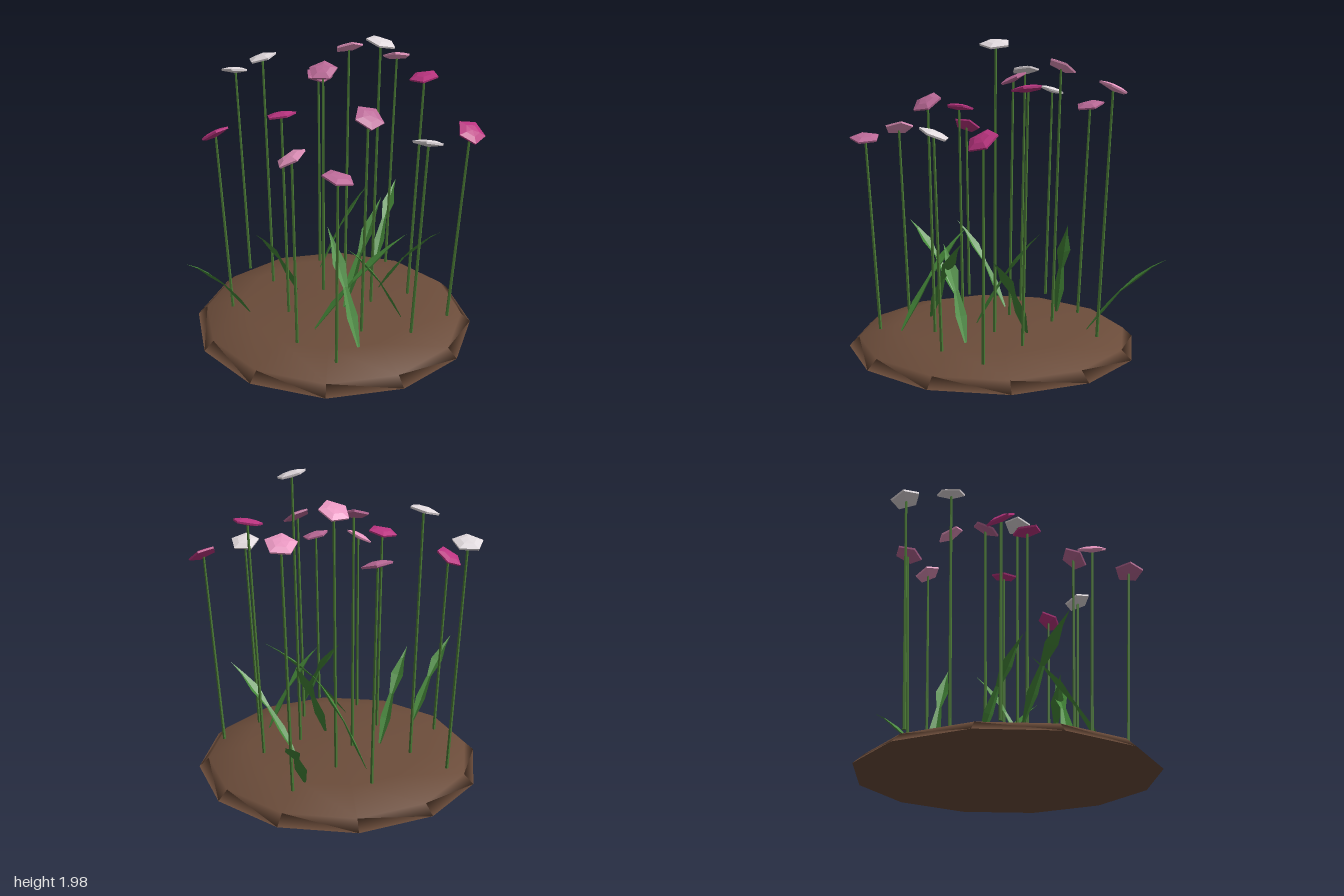
import * as THREE from 'three';

const UP = new THREE.Vector3(0, 1, 0);
const paint = (color, flat = true) =>
  new THREE.MeshStandardMaterial({ color, flatShading: flat, side: THREE.DoubleSide });

const stemMat = paint(0x4a7a35);
const leafMat = paint(0x468a3a);
const soilMat = paint(0x6b4c3a, false);
const petalMats = {
  white: paint(0xe2dade), pink: paint(0xe896c0), rose: paint(0xbc6a98), magenta: paint(0xba3480),
};

// colour, head centre x y z, slope dy/dx, slope dy/dz, yaw of one corner
const FLOWERS = [
  ['white', -0.30, 1.62, -0.79, -0.15, 0.25, 3.1],
  ['white', -0.23, 1.77, -0.48, 0.25, 0.12, 2.55],
  ['rose', 0.26, 1.55, -0.64, -0.05, -0.28, 2.43],
  ['pink', 0.33, 1.81, -0.33, -0.05, 0.55, -0.1],
  ['pink', 0.74, 1.69, -0.39, -0.2, 0.42, 3.14],
  ['magenta', -0.65, 1.37, -0.28, 0.3, 0.6, 2.36],
  ['rose', 0.05, 1.725, -0.155, 0.3, -0.35, 0],
  ['magenta', -0.32, 1.53, 0.01, 0.08, 0.2, 0],
  ['white', 0.29, 1.95, 0.16, -0.2, -0.2, 3.14],
  ['magenta', 0.61, 1.695, 0.165, 0.2, 0, 3.14],
  ['pink', -0.44, 1.405, 0.41, 0.5, 0.2, 2.5],
  ['rose', 0.03, 1.6, 0.485, -0.1, -0.65, -2.76],
  ['rose', -0.30, 1.37, 0.735, -0.2, -0.15, 3.14],
  ['white', 0.35, 1.44, 0.64, -0.28, 0.3, 3.04],
  ['magenta', 0.71, 1.43, 0.56, -0.1, -0.7, 2.36],
];

// base x z, tip x y z
const LEAVES = [
  [-0.53, -0.10, -0.98, 0.66, 0.01],
  [-0.12, -0.23, -0.48, 0.72, -0.08],
  [0.17, -0.45, 0.47, 0.82, -0.28],
  [0.06, 0.14, 0.46, 0.80, -0.08],
  [0.58, -0.35, 0.94, 0.63, -0.68],
  [0.41, 0.00, 0.62, 0.71, 0.42],
  [-0.09, 0.62, -0.06, 0.77, 0.13],
  [0.34, 0.42, -0.02, 0.69, 0.34],
  [-0.24, 0.30, 0.34, 0.77, 0.45],
];

// Five-sided shallow blossom, shared by all flowers
const headGeo = new THREE.LatheGeometry(
  [[0, -0.02], [0.094, -0.006], [0.097, 0.006], [0.05, 0.019], [0, 0.022]]
    .map(([r, y]) => new THREE.Vector2(r, y)), 5);

function flower([color, x, y, z, sx, sz, yaw]) {
  const group = new THREE.Group();
  group.name = 'flower';
  const centre = new THREE.Vector3(x, y, z);
  const normal = new THREE.Vector3(-sx, 1, -sz).normalize();

  const head = new THREE.Mesh(headGeo, petalMats[color]);
  head.name = 'blossom';
  head.position.copy(centre);
  head.quaternion.setFromUnitVectors(UP, normal)
    .multiply(new THREE.Quaternion().setFromAxisAngle(UP, yaw));

  // Stem leans slightly outward from its foot
  const top = centre.clone().addScaledVector(normal, -0.01);
  const foot = new THREE.Vector3(x * 0.91, 0.125, z * 0.91);
  const dir = top.clone().sub(foot);
  const stem = new THREE.Mesh(new THREE.CylinderGeometry(0.008, 0.011, dir.length(), 5), stemMat);
  stem.name = 'stem';
  stem.position.copy(foot).addScaledVector(dir, 0.5);
  stem.quaternion.setFromUnitVectors(UP, dir.normalize());

  group.add(stem, head);
  return group;
}

// Folded blade: rings of left edge, midrib, right edge along an arched curve
function leaf([bx, bz, tx, ty, tz]) {
  const base = new THREE.Vector3(bx, 0.15, bz);
  const tip = new THREE.Vector3(tx, ty, tz);
  const control = base.clone().lerp(tip, 0.5);
  control.y += 0.13;
  const curve = new THREE.QuadraticBezierCurve3(base, control, tip);
  const side = tip.clone().sub(base).cross(UP).normalize();
  const sections = [[0, 0.018], [0.2, 0.075], [0.42, 0.034], [0.62, 0.09], [0.82, 0.03], [1, 0.001]];
  const pos = [], index = [];
  sections.forEach(([t, w], i) => {
    const p = curve.getPoint(t);
    const out = side.clone().cross(curve.getTangent(t));
    for (const s of [-1, 0, 1]) {
      const q = p.clone().addScaledVector(side, s * w / 2);
      if (s === 0) q.addScaledVector(out, -w * 0.2);
      pos.push(q.x, q.y, q.z);
    }
    if (i === 0) return;
    for (const k of [0, 1]) {
      const a = (i - 1) * 3 + k, b = a + 3;
      index.push(a, a + 1, b, a + 1, b + 1, b);
    }
  });
  const geo = new THREE.BufferGeometry();
  geo.setAttribute('position', new THREE.Float32BufferAttribute(pos, 3));
  geo.setIndex(index);
  geo.computeVertexNormals();
  const mesh = new THREE.Mesh(geo, leafMat);
  mesh.name = 'leaf';
  return mesh;
}

export function createModel() {
  const model = new THREE.Group();
  model.name = 'flowerBed';

  // Twelve-sided soil mound with a flat underside
  const profile = [[0, 0], [0.945, 0], [0.88, 0.06], [0.62, 0.135], [0, 0.155]]
    .map(([r, y]) => new THREE.Vector2(r, y));
  const mound = new THREE.Mesh(new THREE.LatheGeometry(profile, 12), soilMat);
  mound.name = 'soilMound';
  mound.position.x = 0.05;
  model.add(mound);

  for (const f of FLOWERS) model.add(flower(f));
  for (const l of LEAVES) model.add(leaf(l));
  return model;
}
